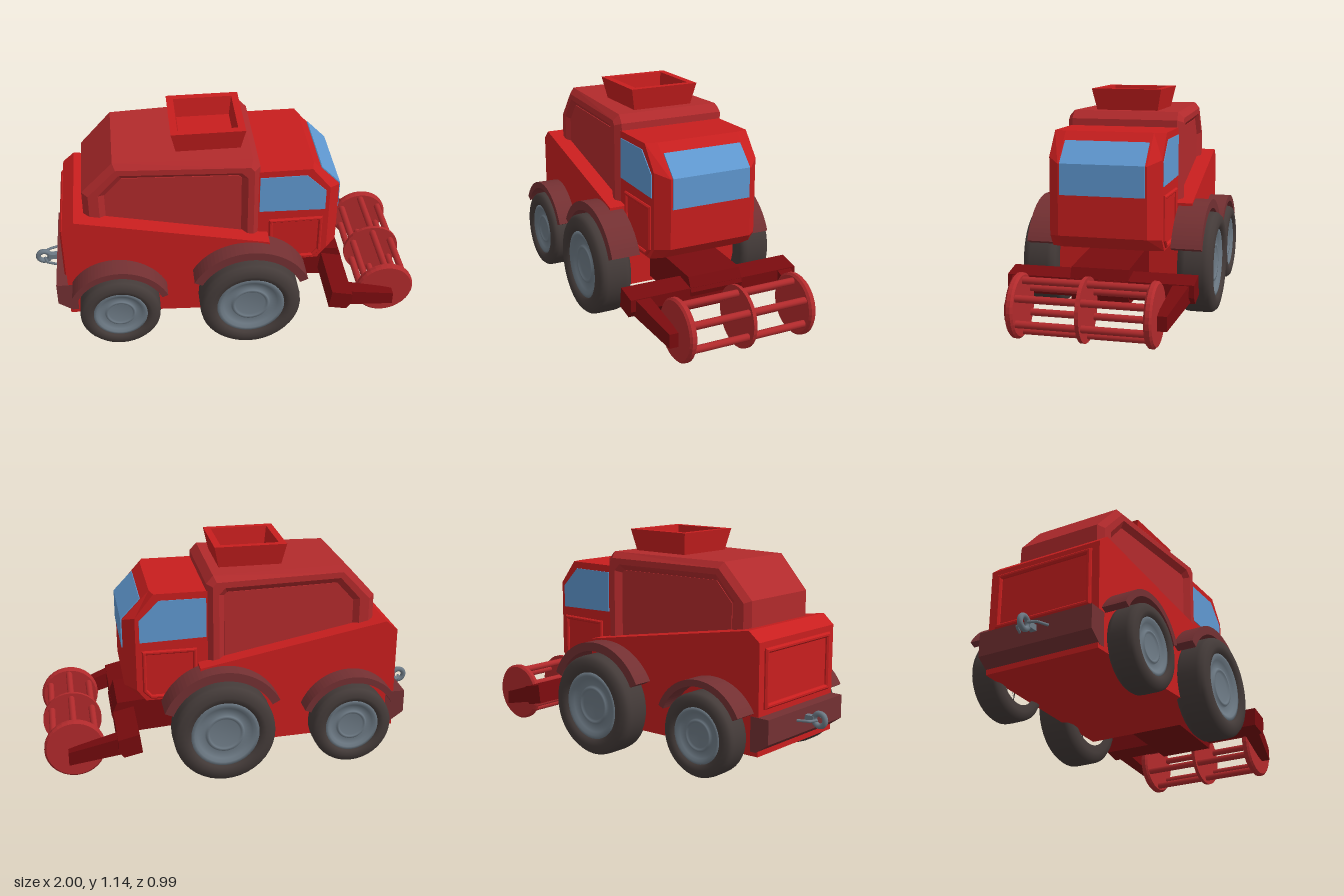
import * as THREE from 'three';

const mat = (name, color, side = THREE.FrontSide) => {
  const m = new THREE.MeshStandardMaterial({ color, side });
  m.name = name;
  return m;
};

export function createModel() {
  const red = mat('bright red', 0xc81e1e);
  const tankRed = mat('tank red', 0xb22a2c);
  const darkRed = mat('dark red', 0x780b0e);
  const maroon = mat('maroon', 0x733032);
  const rubber = mat('tyre rubber', 0x443b39);
  const steel = mat('steel', 0x6d7a85);
  const glass = mat('window blue', 0x5f98d0);

  const model = new THREE.Group();
  model.name = 'harvester';

  function add(name, geo, material, parent = model) {
    const mesh = new THREE.Mesh(geo, material);
    mesh.name = name;
    parent.add(mesh);
    return mesh;
  }
  const toShape = (pts) => new THREE.Shape(pts.map(([x, y]) => new THREE.Vector2(x, y)));
  const toPath = (pts) => new THREE.Path(pts.map(([x, y]) => new THREE.Vector2(x, y)));

  // Side profile extruded along z, centred on z = 0, with an optional chamfer and hole
  function slab(profile, width, { bevel = 0, hole = null, curveSegments = 16 } = {}) {
    const shape = Array.isArray(profile) ? toShape(profile) : profile;
    if (hole) shape.holes.push(toPath(hole));
    const geo = new THREE.ExtrudeGeometry(shape, {
      depth: width - 2 * bevel, curveSegments, bevelEnabled: bevel > 0,
      bevelSize: bevel, bevelThickness: bevel, bevelOffset: -bevel, bevelSegments: 1,
    });
    return geo.translate(0, 0, bevel - width / 2);
  }

  // Narrow a geometry towards the rear: z is multiplied by k0 at x0 up to k1 at x1
  function taper(geo, x0, k0, x1, k1) {
    const p = geo.attributes.position;
    for (let i = 0; i < p.count; i++) {
      p.setZ(i, p.getZ(i) * (k0 + ((p.getX(i) - x0) / (x1 - x0)) * (k1 - k0)));
    }
    geo.computeVertexNormals();
    return geo;
  }

  // Flat-faced solid through convex loops that run anticlockwise seen from the last one
  function loft(sections) {
    const v = [];
    const tri = (...pts) => pts.forEach((p) => v.push(...p));
    const n = sections[0].length;
    const first = sections[0], last = sections[sections.length - 1];
    for (let s = 0; s < sections.length - 1; s++) {
      const a = sections[s], b = sections[s + 1];
      for (let i = 0; i < n; i++) {
        const j = (i + 1) % n;
        tri(a[i], a[j], b[j]);
        tri(a[i], b[j], b[i]);
      }
    }
    for (let i = 1; i < n - 1; i++) {
      tri(first[0], first[i + 1], first[i]);
      tri(last[0], last[i], last[i + 1]);
    }
    const geo = new THREE.BufferGeometry();
    geo.setAttribute('position', new THREE.Float32BufferAttribute(v, 3));
    geo.computeVertexNormals();
    return geo;
  }

  // Lower body, wider at the front
  const bodyProfile = [[-0.82, 0.15], [0.21, 0.15], [0.21, 0.58], [-0.76, 0.74], [-0.82, 0.69]];
  add('body', taper(slab(bodyProfile, 2), -0.82, 0.305, 0.21, 0.365), red);

  // Raised frame on the rear face
  const rearFrame = slab([[-0.265, 0.37], [0.265, 0.37], [0.265, 0.66], [-0.265, 0.66]], 0.03, {
    bevel: 0.008, hole: [[-0.24, 0.395], [-0.24, 0.635], [0.24, 0.635], [0.24, 0.395]],
  });
  add('rearFrame', rearFrame.rotateY(-Math.PI / 2), red).position.x = -0.82;

  // Grain tank with chamfered edges and recessed side panels
  const tankProfile = [[-0.71, 0.52], [0.165, 0.5], [0.165, 0.99], [0.13, 1.03], [-0.55, 1.03], [-0.71, 0.86]];
  const panelProfile = [[-0.6, 0.6], [0.075, 0.55], [0.075, 0.925], [0.06, 0.94], [-0.51, 0.94], [-0.6, 0.84]];
  const tankTaper = (geo) => taper(geo, -0.71, 0.8, 0.165, 1);
  add('grainTank', tankTaper(slab(tankProfile, 0.61, { bevel: 0.03, hole: panelProfile })), tankRed);
  add('tankSidePanels', tankTaper(slab(panelProfile, 0.56)), tankRed);

  // Open square filling hopper on the tank roof
  const hopperProfile = [[0.16, 0], [0.183, 0.11], [0.148, 0.11], [0.135, 0.01], [0, 0.01]];
  let hopper = new THREE.LatheGeometry(
    hopperProfile.map(([r, y]) => new THREE.Vector2(r * Math.SQRT2, y)), 4).rotateY(Math.PI / 4);
  hopper = hopper.toNonIndexed();
  hopper.computeVertexNormals();
  add('fillingHopper', hopper, red).position.set(-0.078, 1.03, 0.005);

  // Cab with chamfered front corners
  const cabInner = [[0.1, 0.39], [0.475, 0.39], [0.52, 0.45], [0.52, 0.835], [0.425, 0.955], [0.1, 0.955]];
  const cabOuter = [[0.1, 0.39], [0.495, 0.39], [0.578, 0.46], [0.578, 0.81], [0.44, 0.955], [0.1, 0.955]];
  const at = (pts, z) => pts.map(([x, y]) => [x, y, z]);
  add('cab', loft([at(cabInner, -0.28), at(cabOuter, -0.22), at(cabOuter, 0.22), at(cabInner, 0.28)]), red);

  // Windscreen folded over the brow, side windows and door frames
  const screen = [[0.578, 0.66], [0.584, 0.66], [0.584, 0.812], [0.487, 0.914], [0.483, 0.91], [0.578, 0.81]];
  add('windscreen', slab(screen, 0.42), glass);
  const sideWindow = [[0.166, 0.715], [0.5, 0.705], [0.5, 0.82], [0.4, 0.92], [0.166, 0.92]];
  const door = [[0.215, 0.4], [0.45, 0.4], [0.49, 0.44], [0.49, 0.66], [0.215, 0.66]];
  const doorHole = [[0.235, 0.42], [0.235, 0.64], [0.47, 0.64], [0.47, 0.45], [0.445, 0.42]];
  for (const s of [1, -1]) {
    add('sideWindow', slab(sideWindow, 0.008), glass).position.z = s * 0.28;
    add('doorFrame', slab(door, 0.024, { bevel: 0.006, hole: doorHole }), red).position.z = s * 0.28;
  }

  // Wheels and mudguards
  const tyreProfile = [[0.64, -0.46], [0.8, -0.5], [0.93, -0.46], [0.99, -0.36], [1, -0.25],
    [1, 0.25], [0.99, 0.36], [0.93, 0.46], [0.8, 0.5], [0.7, 0.47], [0.66, 0.38]];
  const rimProfile = [[0.66, -0.4], [0.68, 0.4], [0.6, 0.42], [0.54, 0.34], [0.4, 0.28],
    [0.37, 0.36], [0.32, 0.36], [0.29, 0.3], [0, 0.3]];
  const disc = (profile, r, w) => {
    const pts = profile.map(([a, b]) => new THREE.Vector2(a * r, b * w));
    return new THREE.LatheGeometry(pts, 40).rotateX(Math.PI / 2);
  };
  function guard(inner, outer, a0, a1) {
    const shape = new THREE.Shape();
    shape.absarc(0, 0, outer, a0, a1, false);
    shape.absarc(0, 0, inner, a1, a0, true);
    return shape;
  }
  const axles = [
    { name: 'front', x: 0.105, y: 0.262, r: 0.258, z0: 0.31, z1: 0.493, gIn: 0.277, gOut: 0.322, gz: 0.445 },
    { name: 'rear', x: -0.56, y: 0.23, r: 0.206, z0: 0.3, z1: 0.45, gIn: 0.235, gOut: 0.268, gz: 0.43 },
  ];
  for (const a of axles) {
    for (const s of [1, -1]) {
      const wheel = new THREE.Group();
      wheel.name = a.name + 'Wheel';
      wheel.position.set(a.x, a.y, s * (a.z0 + a.z1) / 2);
      if (s < 0) wheel.rotation.y = Math.PI;
      add('tyre', disc(tyreProfile, a.r, a.z1 - a.z0), rubber, wheel);
      add('rim', disc(rimProfile, a.r, a.z1 - a.z0), steel, wheel);
      model.add(wheel);
      const arch = slab(guard(a.gIn, a.gOut, 0.4, 2.65), a.gz - 0.295);
      add(a.name + 'Mudguard', arch, maroon).position.set(a.x, a.y, s * (a.gz + 0.295) / 2);
    }
  }

  // Rear bumper
  add('bumper', slab([[-0.88, 0.22], [-0.81, 0.17], [-0.75, 0.17], [-0.75, 0.34], [-0.88, 0.34]], 0.615), maroon);

  // Tow hitch: ring, shank and two bent stays
  const hitch = new THREE.Group();
  hitch.name = 'hitch';
  hitch.position.y = 0.29;
  model.add(hitch);
  add('hitchRing', new THREE.TorusGeometry(0.031, 0.014, 10, 24), steel, hitch).position.x = -0.955;
  add('hitchShank', new THREE.BoxGeometry(0.06, 0.03, 0.03), steel, hitch).position.x = -0.9;
  for (const s of [1, -1]) {
    const path = new THREE.CurvePath();
    const pts = [[-0.87, 0.08], [-0.935, 0.055], [-0.95, 0.015]].map(([x, z]) => new THREE.Vector3(x, 0, s * z));
    path.add(new THREE.LineCurve3(pts[0], pts[1]));
    path.add(new THREE.LineCurve3(pts[1], pts[2]));
    add('hitchStay', new THREE.TubeGeometry(path, 8, 0.007, 8), steel, hitch);
  }

  // Feeder housing, crossbar and the arms that hold the reel
  add('feeder', slab([[0.2, 0.175], [0.61, 0.145], [0.645, 0.25], [0.615, 0.32], [0.2, 0.355]], 0.285), darkRed);
  add('crossbar', slab([[0.517, 0.195], [0.61, 0.175], [0.637, 0.21], [0.637, 0.27], [0.53, 0.295]], 0.92), darkRed);
  const rect = (x, y0, y1, za, zb) => [[x, y0, zb], [x, y0, za], [x, y1, za], [x, y1, zb]];
  for (const s of [1, -1]) {
    const section = (x, y0, y1, zIn, zOut) =>
      rect(x, y0, y1, Math.min(s * zIn, s * zOut), Math.max(s * zIn, s * zOut));
    add('reelArm', loft([section(0.61, 0.185, 0.275, 0.36, 0.44), section(0.88, 0.115, 0.185, 0.335, 0.385)]), darkRed);
  }

  // Pick-up reel: end discs, middle disc and six bars
  const reel = new THREE.Group();
  reel.name = 'reel';
  reel.position.set(0.845, 0.18, 0);
  model.add(reel);
  const round = () => new THREE.Shape().absarc(0, 0, 0.153, 0, Math.PI * 2, false);
  for (const s of [1, -1]) {
    add('endDisc', slab(round(), 0.038, { bevel: 0.01 }), tankRed, reel).position.z = s * 0.321;
  }
  add('middleDisc', slab(round(), 0.018), tankRed, reel);
  for (let i = 0; i < 6; i++) {
    const a = Math.PI / 2 + (i * Math.PI) / 3;
    const bar = new THREE.CylinderGeometry(0.018, 0.018, 0.63, 10).rotateX(Math.PI / 2);
    add('reelBar', bar, tankRed, reel).position.set(0.12 * Math.cos(a), 0.12 * Math.sin(a), 0);
  }

  return model;
}
